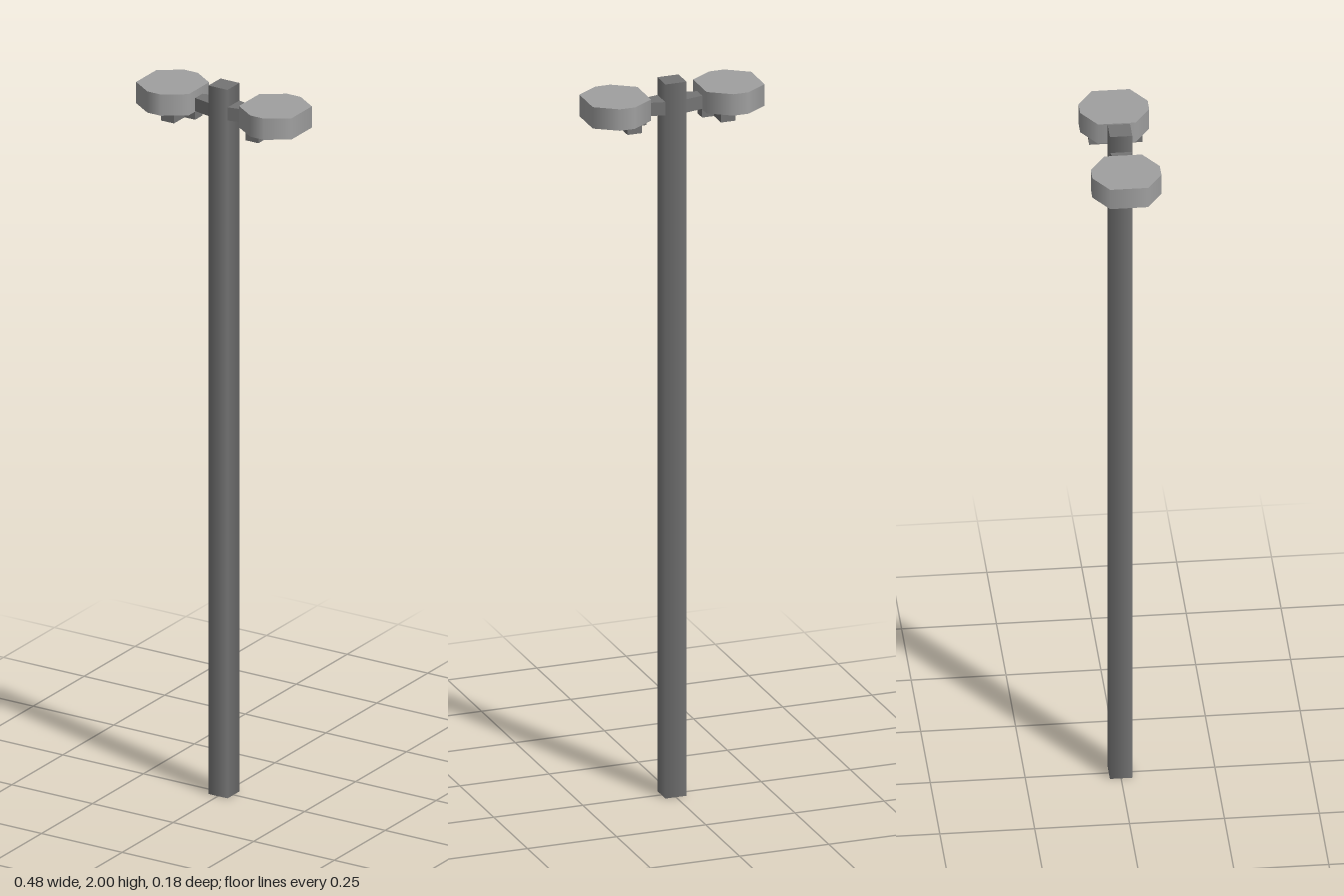
import * as THREE from 'three';

const poleMat = new THREE.MeshStandardMaterial({ name: 'dark grey metal', color: 0x747474, side: THREE.DoubleSide });
const lampMat = new THREE.MeshStandardMaterial({ name: 'light grey housing', color: 0xa0a0a0 });

function add(parent, name, geometry, material, x, y, z = 0) {
  const mesh = new THREE.Mesh(geometry, material);
  mesh.name = name;
  mesh.position.set(x, y, z);
  parent.add(mesh);
  return mesh;
}

// Eight-sided housing, stretched so its z ends are narrow; keeps soft side normals
function lampGeometry() {
  const geo = new THREE.CylinderGeometry(1, 1, 0.06, 8, 1, false, Math.PI / 8);
  const p = geo.attributes.position;
  for (let i = 0; i < p.count; i++) {
    const x = p.getX(i), z = p.getZ(i);
    if (Math.hypot(x, z) < 0.1) continue;
    const outer = Math.abs(x) > Math.abs(z);
    p.setX(i, Math.sign(x) * (outer ? 0.0815 : 0.021));
    p.setZ(i, Math.sign(z) * (outer ? 0.05 : 0.091));
  }
  return geo;
}

// Arm that narrows in z away from the pole
function armGeometry(side) {
  const geo = new THREE.BoxGeometry(0.05, 0.037, 0.058);
  const p = geo.attributes.position;
  for (let i = 0; i < p.count; i++) {
    if (p.getX(i) * side > 0) p.setZ(i, Math.sign(p.getZ(i)) * 0.018);
  }
  geo.computeVertexNormals();
  return geo;
}

export function createModel() {
  const model = new THREE.Group();
  model.name = 'doubleStreetLamp';

  // Square pole, open at the foot, with a flat cap
  const shaft = new THREE.CylinderGeometry(0.0417, 0.0417, 2, 4, 1, true, Math.PI / 4);
  add(model, 'pole', shaft, poleMat, 0, 1);
  const cap = add(model, 'poleCap', new THREE.PlaneGeometry(0.059, 0.059), poleMat, 0, 2);
  cap.rotation.x = -Math.PI / 2;

  // Mirrored lamp heads
  for (const side of [-1, 1]) {
    const head = new THREE.Group();
    head.name = side > 0 ? 'leftLampHead' : 'rightLampHead';
    add(head, 'arm', armGeometry(side), poleMat, side * 0.0535, 1.932);
    add(head, 'housing', lampGeometry(), lampMat, side * 0.1595, 1.942);
    // T-shaped bracket under the housing
    add(head, 'bracketStem', new THREE.BoxGeometry(0.034, 0.026, 0.036), poleMat, side * 0.095, 1.902);
    add(head, 'bracketBar', new THREE.BoxGeometry(0.04, 0.022, 0.14), poleMat, side * 0.131, 1.9);
    model.add(head);
  }
  return model;
}
